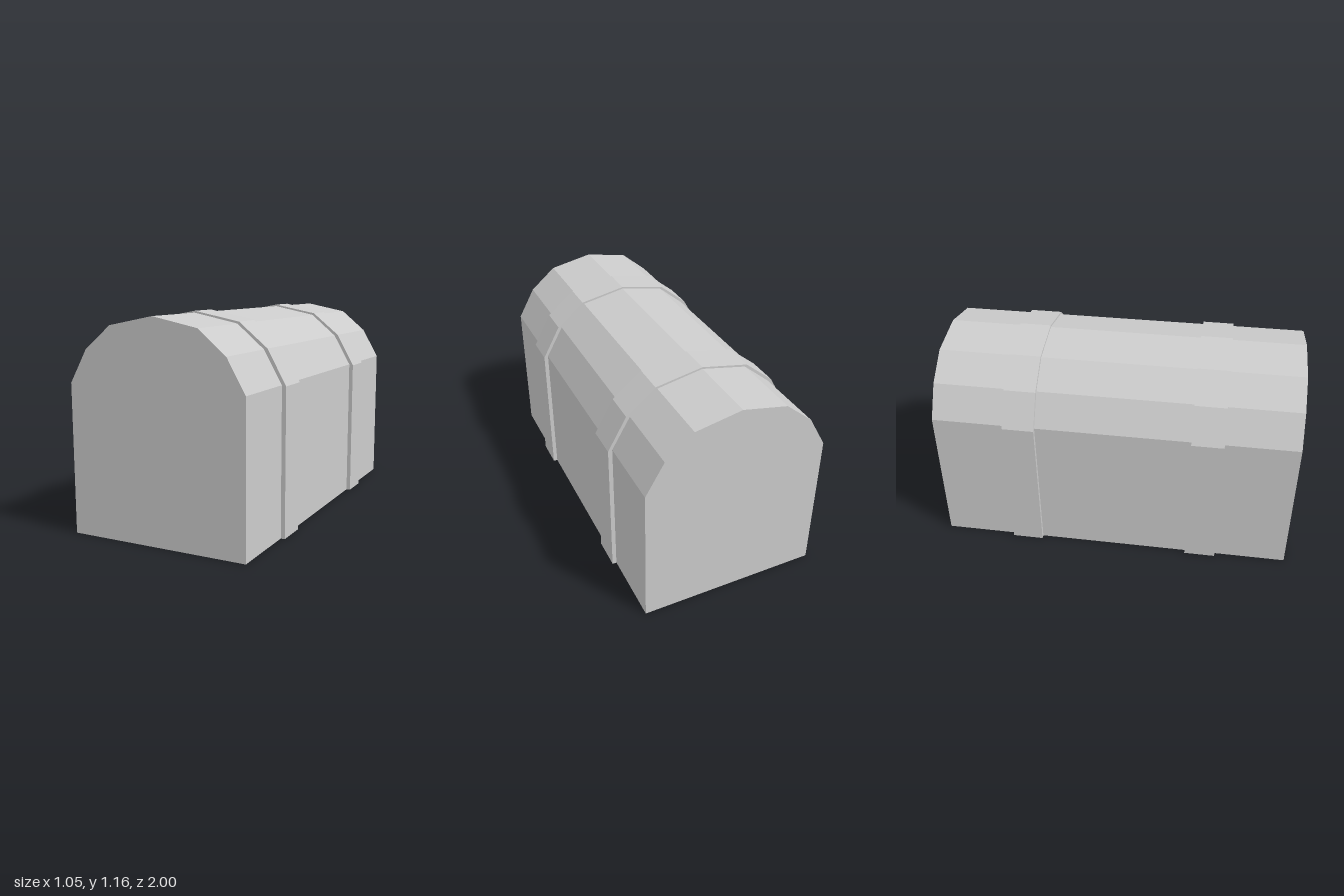
import * as THREE from 'three';

const material = new THREE.MeshStandardMaterial({ color: 0xcccccc, flatShading: true });

// Right half of each arch outline, from the ground up to the ridge
const bodyHalf = [[0.5, 0], [0.5, 0.8], [0.4, 0.975], [0.25, 1.1], [0, 1.15]];
const strapHalf = [[0.523, 0], [0.523, 0.795], [0.42, 0.98], [0.26, 1.11], [0, 1.16]];

// Mirror a half outline into a full arch running from +x to -x
function arch(half) {
  const mirrored = half.slice(0, -1).reverse().map(([x, y]) => [-x, y]);
  return [...half, ...mirrored].map(([x, y]) => new THREE.Vector2(x, y));
}

// Extrude an outline along z, centred on the given z
function extrudePart(name, points, depth, z) {
  const geometry = new THREE.ExtrudeGeometry(new THREE.Shape(points), { depth, bevelEnabled: false });
  geometry.translate(0, 0, z - depth / 2);
  const mesh = new THREE.Mesh(geometry, material);
  mesh.name = name;
  return mesh;
}

export function createModel() {
  const group = new THREE.Group();
  group.name = 'archedChest';

  // Solid body with a faceted, rounded top
  group.add(extrudePart('body', arch(bodyHalf), 2, 0));

  // Two thin straps wrapped over the sides and top
  const strapOutline = [...arch(strapHalf), ...arch(bodyHalf).reverse()];
  for (const [name, side] of [['frontStrap', 1], ['backStrap', -1]]) {
    group.add(extrudePart(name, strapOutline, 0.175, side * 0.5125));
  }
  return group;
}
